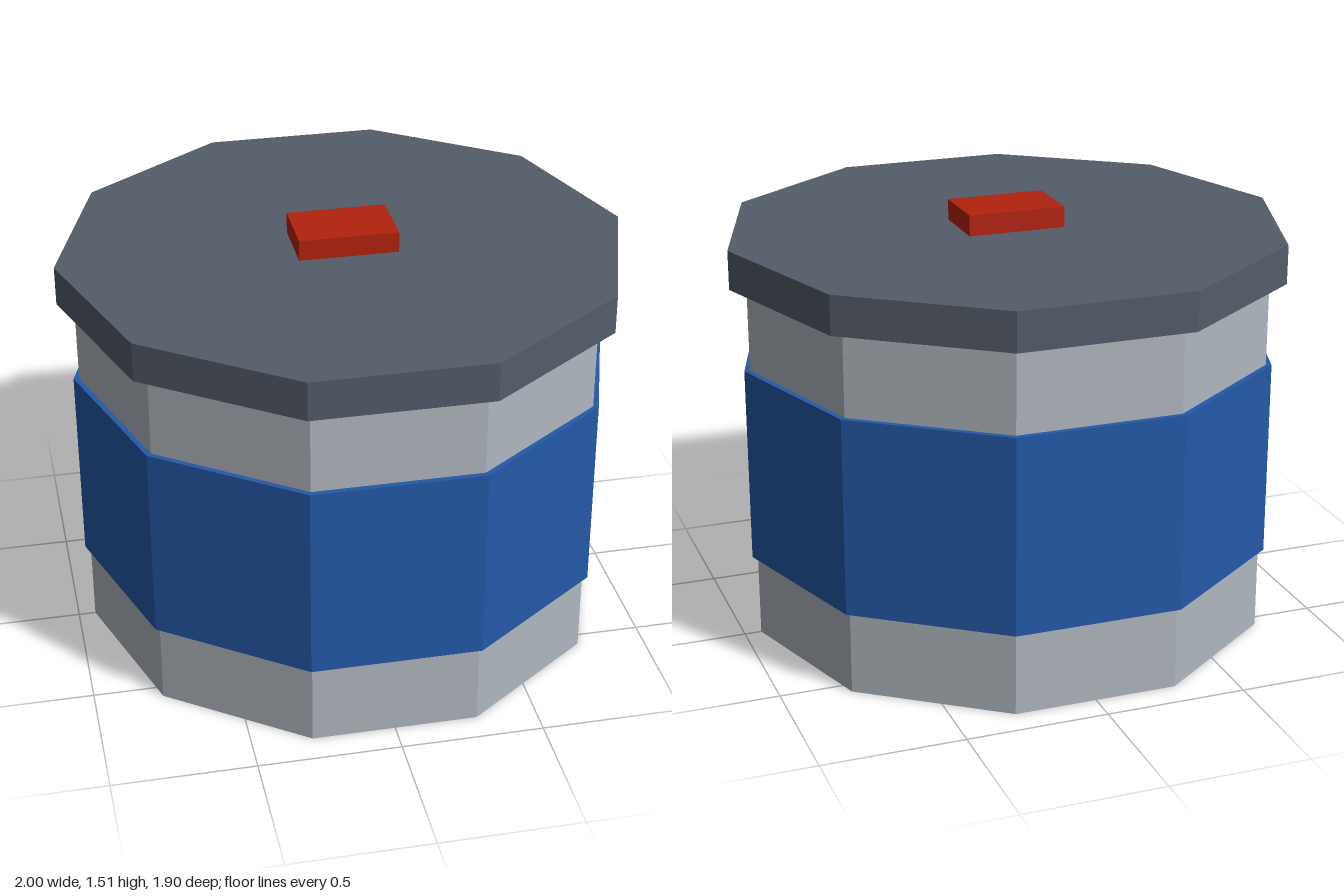
import * as THREE from 'three';

const SIDES = 10;

function material(name, color) {
  const m = new THREE.MeshStandardMaterial({ color, flatShading: true });
  m.name = name;
  return m;
}

export function createModel() {
  const group = new THREE.Group();
  group.name = 'canister';

  const grey = material('lightGrey', 0xb0b7bf);
  const blue = material('blue', 0x2459a8);
  const slate = material('slateGrey', 0x545c69);
  const red = material('red', 0xb3220e);

  const add = (name, geometry, mat, y) => {
    const mesh = new THREE.Mesh(geometry, mat);
    mesh.name = name;
    mesh.position.y = y;
    group.add(mesh);
  };

  // Ten-sided drum from y0 to y1, with corners on the x axis
  const drum = (name, radius, y0, y1, mat) =>
    add(name, new THREE.CylinderGeometry(radius, radius, y1 - y0, SIDES, 1, false, Math.PI / 2),
      mat, (y0 + y1) / 2);

  drum('body', 0.94, 0, 1.3, grey);
  drum('band', 0.96, 0.298, 1.0, blue);
  drum('lid', 1.0, 1.298, 1.436, slate);

  // Small block on the lid
  add('button', new THREE.BoxGeometry(0.35, 0.074, 0.232), red, 1.473);

  return group;
}
